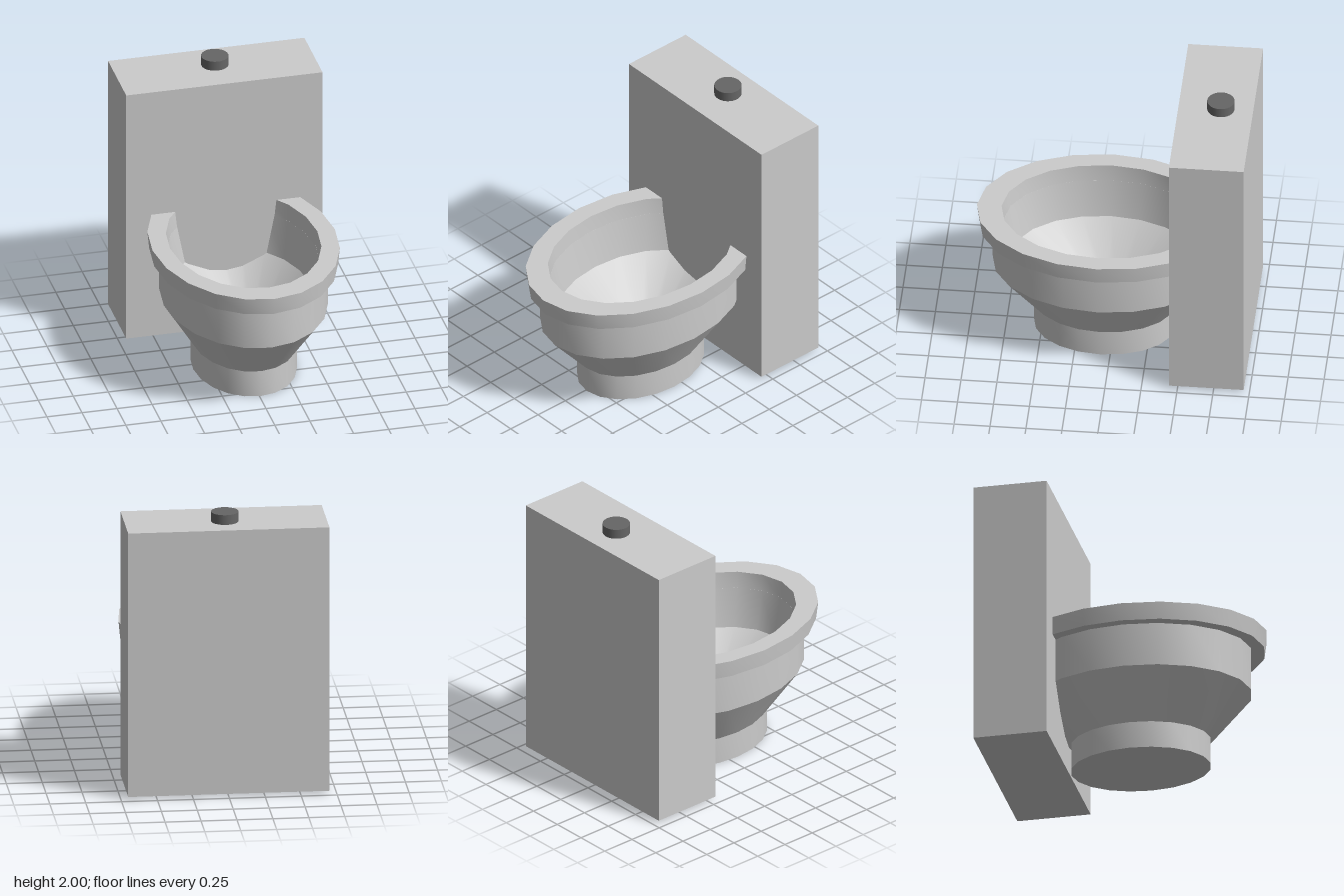
import * as THREE from 'three';
import { toCreasedNormals } from 'three/addons/utils/BufferGeometryUtils.js';

const SIDES = 20;
const STRETCH = 1.37; // depth of the oval relative to its width

const ceramic = new THREE.MeshStandardMaterial({ color: 0xcccccc });
const darkGrey = new THREE.MeshStandardMaterial({ color: 0x666666 });
const blue = new THREE.MeshStandardMaterial({ color: 0x6699dd });

function addPart(group, name, geometry, material, x, y, z) {
  const mesh = new THREE.Mesh(geometry, material);
  mesh.name = name;
  mesh.position.set(x, y, z);
  group.add(mesh);
}

// Oval turned form from [radius, height] pairs
function ovalLathe(profile) {
  const points = profile.map(([r, y]) => new THREE.Vector2(r, y));
  const geometry = new THREE.LatheGeometry(points, SIDES);
  geometry.scale(1, 1, STRETCH);
  return toCreasedNormals(geometry, 0.5);
}

export function createModel() {
  const model = new THREE.Group();
  model.name = 'toilet';

  // Tank and flush button
  addPart(model, 'tank', new THREE.BoxGeometry(1.4, 1.91, 0.52), ceramic, 0, 0.975, -0.7);
  addPart(model, 'flushButton', new THREE.CylinderGeometry(0.095, 0.095, 0.07, 32), darkGrey, 0.005, 1.965, -0.735);

  // Foot, flared outside, then the inner wall and funnel
  const bowl = ovalLathe([
    [0, 0], [0.36, 0], [0.36, 0.195], [0.57, 0.53], [0.57, 0.85],
    [0.515, 0.85], [0.475, 0.565], [0.15, 0.25], [0, 0.25],
  ]);
  addPart(model, 'bowl', bowl, ceramic, 0.01, 0, 0.07);

  // Seat ring overhanging the bowl
  const seat = ovalLathe([
    [0.515, 0.845], [0.638, 0.845], [0.65, 0.97], [0.525, 0.97], [0.515, 0.845],
  ]);
  addPart(model, 'seat', seat, ceramic, 0.01, 0, 0.07);

  // Water surface
  const water = new THREE.CircleGeometry(0.17, 32);
  water.rotateX(-Math.PI / 2);
  water.scale(1, 1, STRETCH);
  addPart(model, 'water', water, blue, 0.01, 0.27, 0.07);

  return model;
}
